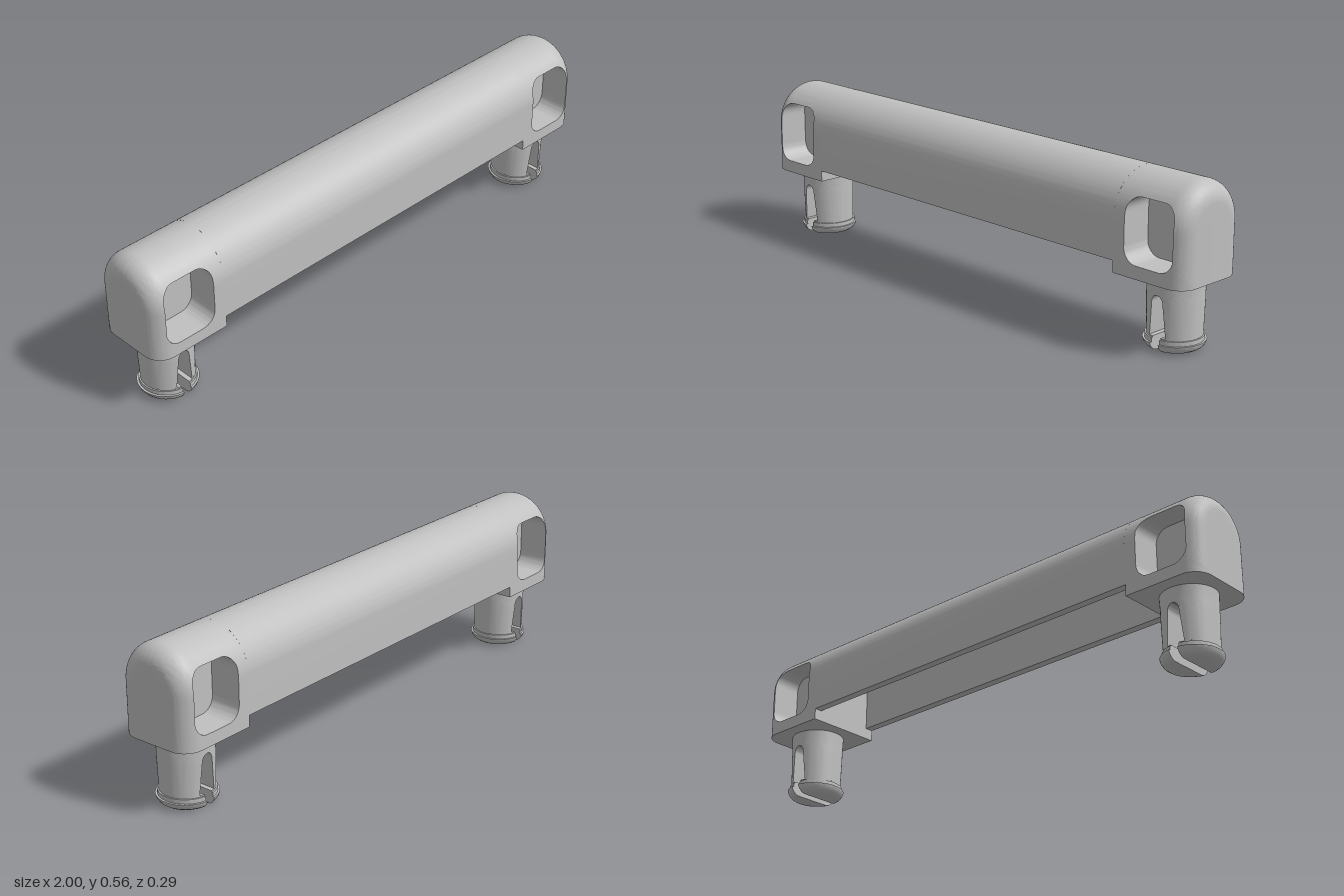
import * as THREE from 'three';
import { toCreasedNormals } from 'three/addons/utils/BufferGeometryUtils.js';

const HALF = 0.143, SPRING = 0.42;      // half width, height where the arch starts
const BLOCK_IN = 0.72, BLOCK_Y = 0.24;  // inner end and underside of the end blocks
const ROUND = 0.065, BEND = 1 - ROUND;  // rounding of the outer ends
const V = (x, y, z) => new THREE.Vector3(x, y, z);

// Skin closed rows of points, mirrored by the signs sx and sz
function loft(rows, sx, sz) {
  const pos = [];
  const tri = (a, b, c) => {
    const area = b.clone().sub(a).cross(c.clone().sub(a)).length();
    if (area < 1e-10) return;
    for (const p of sx * sz > 0 ? [a, b, c] : [a, c, b]) pos.push(p.x * sx, p.y, p.z * sz);
  };
  for (let i = 0; i < rows.length - 1; i++) {
    const n = rows[i].length;
    for (let j = 0; j < n; j++) {
      const k = (j + 1) % n;
      const a = rows[i][j], b = rows[i][k], c = rows[i + 1][k], d = rows[i + 1][j];
      tri(a, d, c);
      tri(a, c, b);
    }
  }
  const g = new THREE.BufferGeometry();
  g.setAttribute('position', new THREE.Float32BufferAttribute(pos, 3));
  return toCreasedNormals(g, 0.6);
}

// Outer skin: p runs along the length and round the end, q up the side and over the arch
function skin(p, q) {
  const t = Math.max(0, (p - BEND) / ROUND);
  const w = HALF - ROUND * (1 - Math.cos(t));
  const phi = Math.max(0, (q - SPRING) / HALF);
  return V(t > 0 ? BEND + ROUND * Math.sin(t) : p,
    phi > 0 ? SPRING + w * Math.sin(phi) : q, w * Math.cos(phi));
}

// Skin coordinates of a point seen from the side
function unskin(x, y) {
  const t = Math.asin(Math.max(0, (x - BEND) / ROUND));
  const w = HALF - ROUND * (1 - Math.cos(t));
  return [t > 0 ? BEND + ROUND * t : x,
    y > SPRING ? SPRING + HALF * Math.asin((y - SPRING) / w) : y];
}

// Half an end block: pocket floor, pocket wall, skin, then the flat faces to the mid plane
function blockRows() {
  const n = 24, rings = 14, floorZ = 0.03;
  const cx = 0.86, cy = 0.392, hx = 0.096, hy = 0.108, r = 0.05;
  const p1 = BEND + ROUND * Math.PI / 2, q1 = SPRING + HALF * Math.PI / 2;
  const square = [];
  for (const [ax, ay, dx, dy] of [[-1, -1, 1, 0], [1, -1, 0, 1], [1, 1, -1, 0], [-1, 1, 0, -1]])
    for (let i = 0; i < n; i++) square.push([ax + dx * 2 * i / n, ay + dy * 2 * i / n]);
  const pocket = square.map(([u, v]) => {
    const x = u * hx, y = v * hy;
    const kx = THREE.MathUtils.clamp(x, r - hx, hx - r);
    const ky = THREE.MathUtils.clamp(y, r - hy, hy - r);
    const l = Math.hypot(x - kx, y - ky);
    return [cx + kx + (x - kx) * r / l, cy + ky + (y - ky) * r / l];
  });
  const rows = [pocket.map(() => V(cx, cy, floorZ)), pocket.map(([x, y]) => V(x, y, floorZ))];
  for (let i = 0; i <= rings; i++) {
    rows.push(pocket.map(([x, y], j) => {
      const [p, q] = unskin(x, y), [u, v] = square[j], f = i / rings;
      return skin(THREE.MathUtils.lerp(p, BLOCK_IN + (p1 - BLOCK_IN) * (u + 1) / 2, f),
        THREE.MathUtils.lerp(q, BLOCK_Y + (q1 - BLOCK_Y) * (v + 1) / 2, f));
    }));
  }
  rows.push(rows[rows.length - 1].map(v => V(v.x, v.y, 0)));
  return rows;
}

// Half a snap peg: each row is a circle cut off along the slot; entries are [y, radius, slot half width]
function pegRows() {
  const levels = [[0, 0.07, 0.016], [0.003, 0.082, 0.016], [0.01, 0.092, 0.016],
    [0.02, 0.099, 0.016], [0.03, 0.102, 0.016], [0.03, 0.095, 0.016], [0.045, 0.095, 0.016],
    [0.045, 0.09, 0.016], [0.05, 0.09, 0.016], [0.05, 0.09, 0.032]];
  for (let i = 0; i <= 8; i++) {
    const a = i / 8 * Math.PI / 2;
    levels.push([0.16 + 0.028 * Math.sin(a), 0.093, i === 8 ? 0 : 0.022 * Math.cos(a)]);
  }
  levels.push([BLOCK_Y + 0.005, 0.095, 0]);
  const rows = levels.map(([y, r, s]) => {
    const m = Math.acos(s / r), row = [];
    for (let j = 0; j <= 28; j++) {
      const a = m * (j / 14 - 1);
      row.push(V(r * Math.cos(a), y, r * Math.sin(a)));
    }
    return row;
  });
  rows.unshift(rows[0].map(() => V(0.04, 0, 0)));
  return rows;
}

// Hollow bar, open below
function barGeometry() {
  const inner = HALF - 0.03, low = 0.28;
  const s = new THREE.Shape();
  s.moveTo(HALF, low);
  s.lineTo(HALF, SPRING);
  s.absarc(0, SPRING, HALF, 0, Math.PI, false);
  s.lineTo(-HALF, low);
  s.lineTo(-inner, low);
  s.lineTo(-inner, SPRING);
  s.absarc(0, SPRING, inner, Math.PI, 0, true);
  s.lineTo(inner, low);
  s.closePath();
  const g = new THREE.ExtrudeGeometry(s, { depth: 2 * BLOCK_IN, bevelEnabled: false, curveSegments: 32 });
  g.translate(0, 0, -BLOCK_IN);
  g.rotateY(Math.PI / 2);
  return toCreasedNormals(g, 0.6);
}

export function createModel() {
  const model = new THREE.Group();
  model.name = 'handle';
  const grey = new THREE.MeshStandardMaterial({ color: 0xc0c0c0 });
  grey.name = 'light grey';
  const add = (parent, name, geometry) => {
    const mesh = new THREE.Mesh(geometry, grey);
    mesh.name = name;
    parent.add(mesh);
    return mesh;
  };

  add(model, 'gripBar', barGeometry());

  const block = blockRows(), peg = pegRows();
  for (const sx of [1, -1]) {
    const end = new THREE.Group();
    end.name = sx > 0 ? 'leftEnd' : 'rightEnd';
    model.add(end);
    for (const sz of [1, -1]) add(end, sz > 0 ? 'frontBlockHalf' : 'backBlockHalf', loft(block, sx, sz));
    for (const side of [1, -1])
      add(end, side > 0 ? 'pegLeftProng' : 'pegRightProng', loft(peg, side, 1)).position.x = sx * 0.86;
  }
  return model;
}
